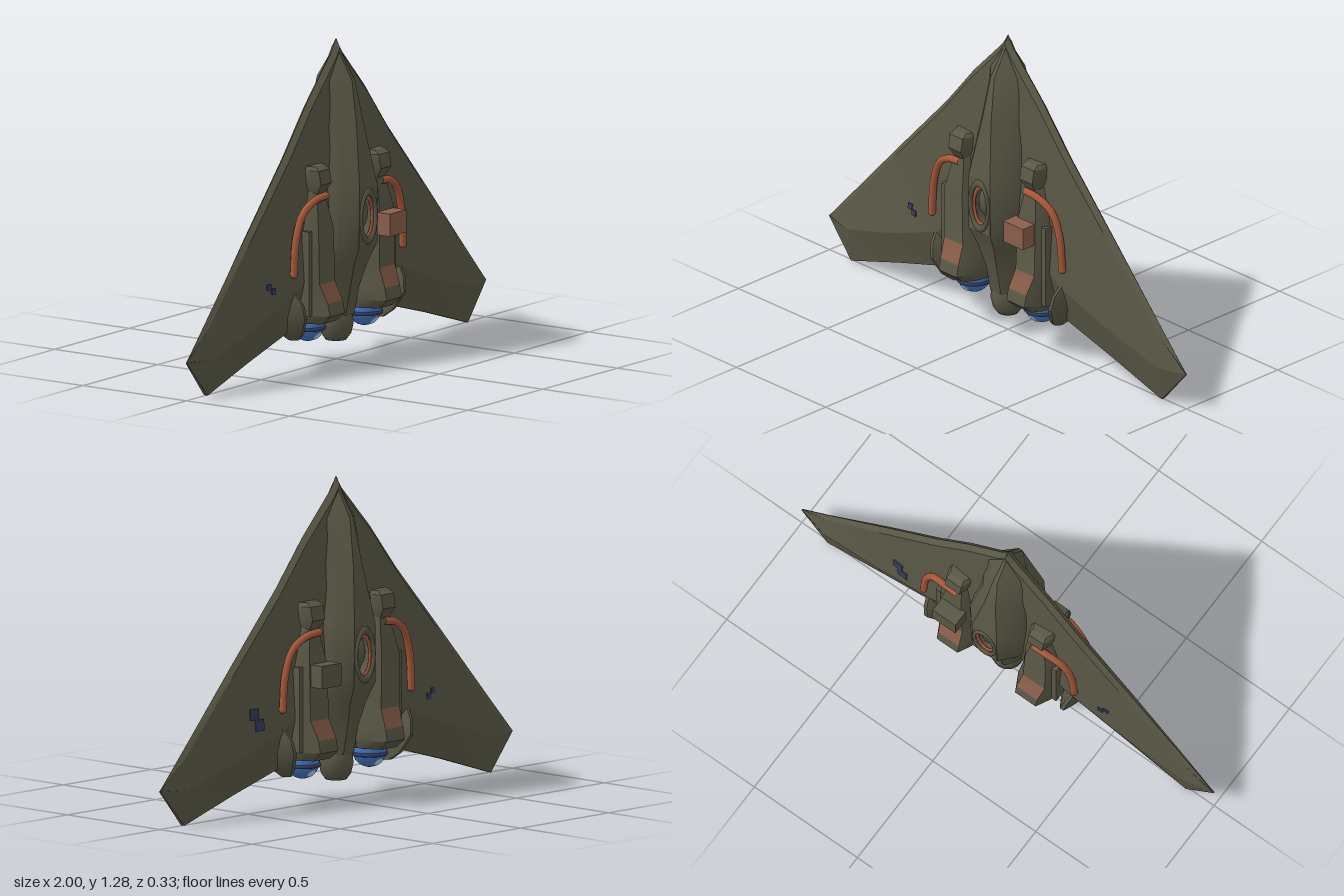
import * as THREE from 'three';
import { toCreasedNormals } from 'three/addons/utils/BufferGeometryUtils.js';

const flat = (name, color) => new THREE.MeshStandardMaterial({ name, color });

// Skin closed rings of [x, y, z]; pick(row, column) gives a material index, or -1 for an opening.
function loft(rings, pick = () => 0, crease = 0.5) {
  const n = rings[0].length, buckets = [[], []];
  for (let i = 0; i < rings.length - 1; i++) {
    for (let j = 0; j < n; j++) {
      const k = (j + 1) % n, m = pick(i, j);
      if (m < 0) continue;
      const a = rings[i][j], b = rings[i][k], c = rings[i + 1][k], d = rings[i + 1][j];
      buckets[m].push([a, b, c], [a, c, d]);
    }
  }
  const first = rings[0], last = rings[rings.length - 1];
  for (let j = 1; j < n - 1; j++) {
    buckets[0].push([first[0], first[j + 1], first[j]], [last[0], last[j], last[j + 1]]);
  }
  // Turn all faces outward by the sign of the volume
  let volume = 0;
  const v = (p) => new THREE.Vector3(...p);
  buckets.flat().forEach(([a, b, c]) => { volume += v(a).dot(v(b).cross(v(c))); });
  const positions = [];
  const geometry = new THREE.BufferGeometry();
  buckets.forEach((tris, m) => {
    if (tris.length) geometry.addGroup(positions.length / 3, tris.length * 3, m);
    tris.forEach(([a, b, c]) => positions.push(...a, ...(volume < 0 ? c : b), ...(volume < 0 ? b : c)));
  });
  geometry.setAttribute('position', new THREE.Float32BufferAttribute(positions, 3));
  return toCreasedNormals(geometry, crease);
}

// Eight-sided section, the same front and back: c centre, b base, s shoulder, f flat top, d depth
function section(y, c, b, s, f, d) {
  return [[c + b, y, 0], [c + s, y, d * 0.6], [c + f, y, d], [c - f, y, d], [c - s, y, d * 0.6],
    [c - b, y, 0], [c - s, y, -d * 0.6], [c - f, y, -d], [c + f, y, -d], [c + s, y, -d * 0.6]];
}

export function createModel() {
  const model = new THREE.Group();
  const hull = flat('olive hull', 0x5a5846);
  const copper = flat('copper pipe', 0xa9583a);
  const worn = flat('worn copper', 0x8c5f4a);
  const blue = flat('engine blue', 0x4478c8);
  const glow = flat('engine glow', 0xb4d8e6);
  const navy = flat('navy marking', 0x343c5c);

  const add = (parent, name, geometry, material, x = 0, y = 0, z = 0) => {
    const mesh = new THREE.Mesh(geometry, material);
    mesh.name = name;
    mesh.position.set(x, y, z);
    parent.add(mesh);
    return mesh;
  };

  // Delta wing: x, leading edge y, ridge y, ridge depth, trailing edge y
  const half = [
    [0, 1.285, 0.6, 0.07, 0.2], [0.03, 1.24, 0.58, 0.07, 0.2], [0.19, 1.07, 0.45, 0.065, 0.19],
    [0.34, 0.885, 0.33, 0.055, 0.165], [0.6, 0.6, 0.23, 0.045, 0.09],
    [0.87, 0.3, 0.15, 0.032, 0.005], [1, 0.156, 0.155, 0.003, 0.154],
  ];
  const span = [...half.slice(1).reverse().map(([x, ...r]) => [-x, ...r]), ...half];
  const wingRings = span.map(([x, le, ridge, d, te]) => {
    const sy = le - Math.min(0.03, (le - ridge) * 0.3), sz = Math.min(0.02, d * 0.4);
    const tz = Math.min(0.009, d);
    return [[x, le, 0], [x, sy, sz], [x, ridge, d], [x, te, tz], [x, te, -tz], [x, ridge, -d], [x, sy, -sz]];
  });
  add(model, 'wing', loft(wingRings, undefined, 0.15), hull);

  // Central fuselage, open at the two cockpit bays
  const body = [
    [1.287, 0, 0.002, 0.0015, 0.001, 0.002], [1.225, 0, 0.035, 0.02, 0.006, 0.026],
    [1.13, 0, 0.1, 0.045, 0.01, 0.085], [0.95, 0, 0.12, 0.07, 0.025, 0.118],
    [0.71, 0, 0.14, 0.115, 0.06, 0.158], [0.48, 0, 0.14, 0.115, 0.06, 0.155],
    [0.4, 0, 0.12, 0.09, 0.045, 0.12], [0.3, 0, 0.1, 0.07, 0.03, 0.09],
    [0.19, 0, 0.07, 0.055, 0.03, 0.068],
  ].map((s) => section(...s));
  add(model, 'fuselage', loft(body, (i, j) => (i === 4 && (j === 2 || j === 7) ? -1 : 0)), hull);

  // Tail nozzle
  const nozzle = [[0.001, 0.14], [0.03, 0.1], [0.042, 0.085], [0.06, 0.11], [0.069, 0.15], [0.066, 0.2], [0.04, 0.24]];
  add(model, 'tailNozzle', new THREE.LatheGeometry(nozzle.map((p) => new THREE.Vector2(...p)), 20), hull);

  // Parts that repeat on the left and right
  for (const s of [1, -1]) {
    const nacelle = [
      [0.72, 0.2, 0.05, 0.04, 0.025, 0.07], [0.57, 0.205, 0.085, 0.075, 0.05, 0.1],
      [0.355, 0.2, 0.095, 0.08, 0.052, 0.103], [0.28, 0.19, 0.095, 0.08, 0.05, 0.135],
      [0.23, 0.19, 0.095, 0.08, 0.05, 0.145], [0.195, 0.19, 0.085, 0.07, 0.045, 0.105],
    ].map(([y, c, ...r]) => section(y, c * s, ...r));
    add(model, 'nacelle', loft(nacelle, (i, j) => (i === 2 && (j === 2 || j === 7) ? 1 : 0)), [hull, worn]);

    const sidePod = [
      [0.33, 0.35, 0.025, 0.018, 0.006, 0.055], [0.29, 0.34, 0.042, 0.022, 0.007, 0.085],
      [0.23, 0.33, 0.043, 0.025, 0.008, 0.095], [0.16, 0.305, 0.035, 0.02, 0.008, 0.06],
      [0.13, 0.285, 0.02, 0.015, 0.006, 0.025],
    ].map(([y, c, ...r]) => section(y, c * s, ...r));
    add(model, 'sidePod', loft(sidePod), hull);

    add(model, 'engineBall', new THREE.SphereGeometry(0.068, 24, 16), blue, s * 0.19, 0.178, 0);
    const rim = add(model, 'engineRim', new THREE.TorusGeometry(0.066, 0.008, 8, 24), navy, s * 0.19, 0.165, 0);
    rim.rotation.x = Math.PI / 2;
    for (const f of [1, -1]) {
      const spot = add(model, 'engineGlow', new THREE.SphereGeometry(0.0695, 12, 4, 0, Math.PI * 2, 0, 0.3),
        glow, s * 0.19, 0.178, 0);
      spot.rotation.x = f * 2.3;
    }
  }

  // Details repeated on the front and the back
  for (const f of [1, -1]) {
    const face = new THREE.Group();
    face.name = f > 0 ? 'frontDetails' : 'backDetails';
    face.rotation.y = f > 0 ? 0 : Math.PI;
    model.add(face);

    // Cockpit bay with an oval opening
    const plate = new THREE.Shape([[-0.06, -0.115], [0.06, -0.115], [0.06, 0.115], [-0.06, 0.115]]
      .map((p) => new THREE.Vector2(...p)));
    plate.holes.push(new THREE.Path().absellipse(0, 0, 0.046, 0.095, 0, Math.PI * 2, true));
    add(face, 'cockpitFrame', new THREE.ExtrudeGeometry(plate, { depth: 0.07, bevelEnabled: false, curveSegments: 20 }),
      hull, 0, 0.595, 0.087);
    add(face, 'cockpitFloor', new THREE.CircleGeometry(0.048, 24), worn, 0, 0.595, 0.1).scale.y = 2.05;
    add(face, 'cockpitRim', new THREE.TorusGeometry(0.05, 0.008, 8, 28), hull, 0, 0.595, 0.157).scale.y = 1.95;
    add(face, 'cockpitLining', new THREE.TorusGeometry(0.041, 0.006, 8, 28), copper, 0, 0.59, 0.145).scale.y = 2;
    add(face, 'cockpitSeat', new THREE.SphereGeometry(0.032, 16, 12), hull, 0, 0.605, 0.115).scale.y = 2;

    // Equipment box on the model's left side
    add(face, 'equipmentBox', new THREE.BoxGeometry(0.11, 0.09, 0.07), f > 0 ? worn : hull, f * 0.193, 0.535, 0.126);

    for (const s of [1, -1]) {
      // Intake cowl
      const cowl = [[0.82, 0.045, 0.065], [0.805, 0.052, 0.088], [0.75, 0.05, 0.098], [0.69, 0.03, 0.06]]
        .map(([y, b, d]) => section(y, s * 0.2, b, b * 0.95, b * 0.7, d));
      add(face, 'intakeCowl', loft(cowl), hull);

      // Curved copper pipe
      const path = new THREE.CatmullRomCurve3([[0.18, 0.7, 0.085], [0.25, 0.69, 0.08], [0.315, 0.645, 0.068],
        [0.352, 0.55, 0.062], [0.365, 0.41, 0.06]].map(([x, y, z]) => new THREE.Vector3(s * x, y, z)));
      add(face, 'pipe', new THREE.TubeGeometry(path, 28, 0.015, 10), copper);
      add(face, 'pipeEnd', new THREE.SphereGeometry(0.0155, 10, 8), copper, s * 0.365, 0.41, 0.06);

      // Outer rail beside the nacelle
      add(face, 'nacelleRail', new THREE.BoxGeometry(0.022, 0.34, 0.05), hull, s * 0.281, 0.4, 0.055);

      // Small painted wing markings
      const large = f < 0 && s < 0;
      if (large || s < 0 || f < 0) {
        for (const [dx, dy] of [[0, 0], [0.025, large ? 0.045 : 0.02]]) {
          const size = large ? 0.045 : 0.024;
          const mark = add(face, 'wingMarking', new THREE.BoxGeometry(size, size, 0.008), navy,
            s * (0.48 + dx), 0.36 + dy, 0.0435 - 0.07 * dx - 0.075 * dy);
          mark.rotation.set(-0.075, s * 0.07, 0);
        }
      }
    }
  }
  return model;
}
